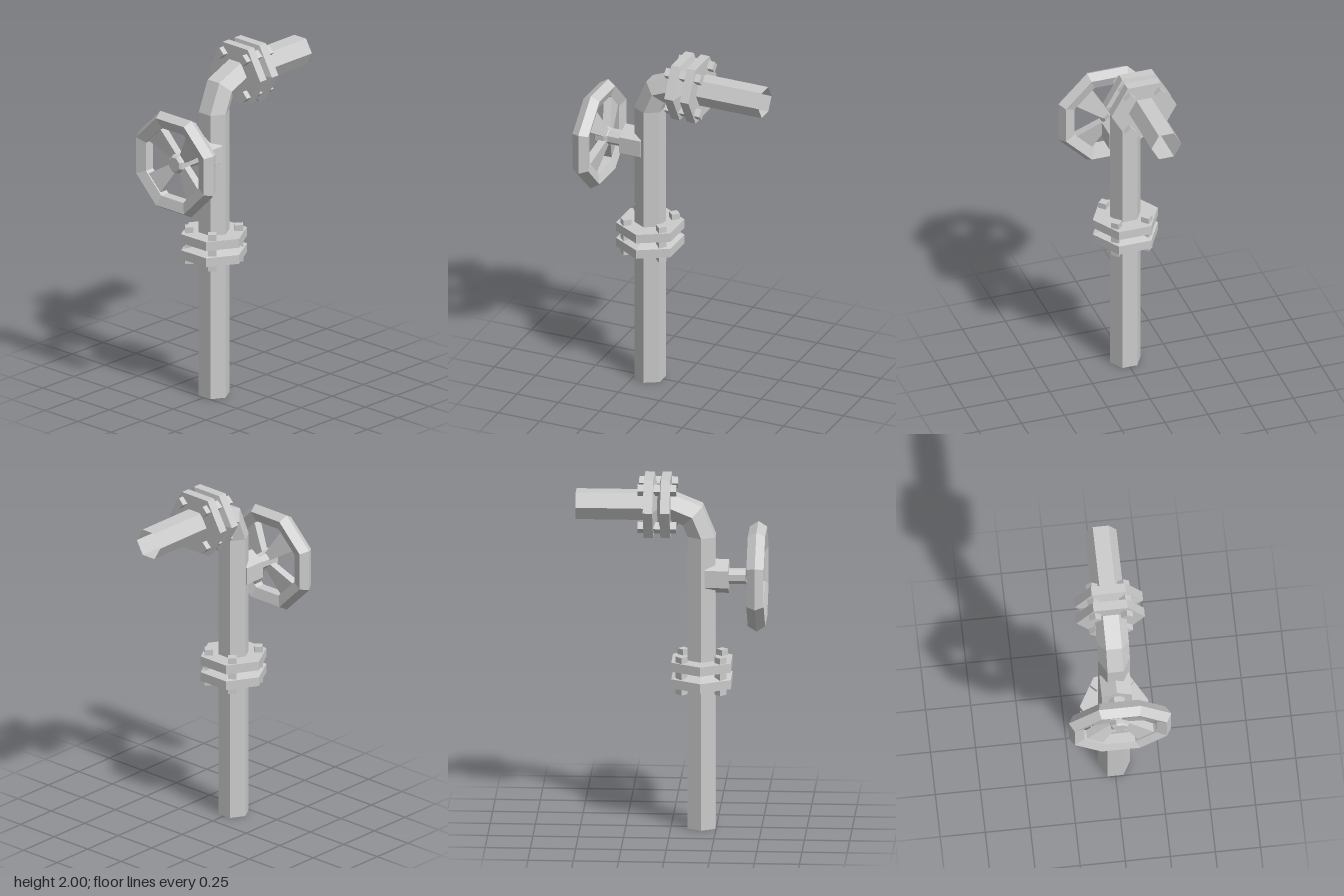
import * as THREE from 'three';

const mat = new THREE.MeshStandardMaterial({ color: 0xcccccc, flatShading: true });
const openMat = new THREE.MeshStandardMaterial({ color: 0xcccccc, flatShading: true, side: THREE.DoubleSide });

const PIPE_R = 0.088, PIPE_Z = 0.17, TOP_Y = 1.838, WHEEL_Y = 1.437;

function add(parent, name, geometry, material = mat) {
  const mesh = new THREE.Mesh(geometry, material);
  mesh.name = name;
  parent.add(mesh);
  return mesh;
}

// Faceted solid of revolution about y; points are [radius, height] from bottom to top
function lathe(points, sides, phiStart) {
  return new THREE.LatheGeometry(points.map(([r, y]) => new THREE.Vector2(r, y)), sides, phiStart);
}

// Six-sided pipe that rises, bends backwards through 90 degrees and runs to the rear
function makePipe() {
  const bend = PIPE_Z, bendY = TOP_Y - bend;
  const rings = [[0, PIPE_Z, 0]];
  for (const a of [0, Math.PI / 4, Math.PI / 2]) {
    rings.push([bendY + bend * Math.sin(a), bend * Math.cos(a), a]);
  }
  rings.push([TOP_Y, -0.525, Math.PI / 2]);
  const n = rings.length - 1;
  const geo = new THREE.CylinderGeometry(PIPE_R, PIPE_R, n, 6, n, true, Math.PI / 6);
  const p = geo.attributes.position;
  for (let i = 0; i < p.count; i++) {
    const [y, z, a] = rings[Math.round(p.getY(i) + n / 2)];
    const out = p.getZ(i);
    p.setXYZ(i, p.getX(i), y + out * Math.sin(a), z + out * Math.cos(a));
  }
  geo.computeVertexNormals();
  return geo;
}

// Pair of hexagonal plates, tapering together in the gap, with four square bolts
function makeFlange(name) {
  const g = new THREE.Group();
  g.name = name;
  const profile = [
    [0.086, -0.0735], [0.19, -0.0735], [0.19, -0.0215], [0.09, 0],
    [0.19, 0.0215], [0.19, 0.0735], [0.086, 0.0735],
  ];
  add(g, 'flangePlates', lathe(profile, 6, Math.PI / 6));
  for (const sx of [-1, 1]) {
    for (const sz of [-1, 1]) {
      const bolt = add(g, 'bolt', new THREE.CylinderGeometry(0.033, 0.033, 0.214, 4));
      bolt.position.set(0.088 * sx, 0, 0.107 * sz);
    }
  }
  return g;
}

// Spoke along +x: narrow and low at the hub, wide and raised at the rim
function makeSpoke() {
  const geo = new THREE.BoxGeometry(1, 1, 1);
  const p = geo.attributes.position;
  for (let i = 0; i < p.count; i++) {
    const outer = p.getX(i) > 0;
    const x = outer ? 0.21 : 0.03;
    const y = (outer ? 0.475 : 0.435) + p.getY(i) * (outer ? 0.05 : 0.044);
    const z = p.getZ(i) * (outer ? 0.13 : 0.044);
    p.setXYZ(i, x, y, z);
  }
  geo.computeVertexNormals();
  return geo;
}

// Handwheel and stem, built about the y axis (y becomes the model's z)
function makeValve() {
  const g = new THREE.Group();
  g.name = 'valve';
  const flat = 1 / Math.cos(Math.PI / 8);
  const rim = [
    [0.2, -0.029], [0.256, -0.048], [0.284, 0], [0.256, 0.048], [0.2, 0.029], [0.2, -0.029],
  ].map(([r, y]) => [r * flat, y + 0.477]);
  add(g, 'wheelRim', lathe(rim, 8, Math.PI / 8));

  for (let i = 0; i < 4; i++) {
    add(g, 'spoke', makeSpoke()).rotation.y = Math.PI / 4 + i * Math.PI / 2;
  }

  const hub = [[0, 0.41], [0.045, 0.41], [0.054, 0.43], [0.054, 0.48], [0.042, 0.492], [0, 0.492]];
  add(g, 'hub', lathe(hub, 8, Math.PI / 8));

  const stem = add(g, 'stem', new THREE.CylinderGeometry(0.045, 0.045, 0.14, 8, 1, false, Math.PI / 8));
  stem.position.y = 0.36;

  const bonnet = add(g, 'bonnet', new THREE.CylinderGeometry(0.097, 0.097, 0.13, 6));
  bonnet.position.y = 0.255;

  g.rotation.x = Math.PI / 2;
  g.position.y = WHEEL_Y;
  return g;
}

export function createModel() {
  const model = new THREE.Group();
  model.name = 'pipeWithValve';

  add(model, 'pipe', makePipe(), openMat);

  // Closed foot of the pipe
  const foot = add(model, 'pipeFoot', new THREE.CircleGeometry(PIPE_R, 6));
  foot.rotation.x = Math.PI / 2;
  foot.position.z = PIPE_Z;

  const lower = makeFlange('lowerFlange');
  lower.position.set(0, 0.888, PIPE_Z);
  const upper = makeFlange('upperFlange');
  upper.position.set(0, TOP_Y, -0.0735);
  upper.rotation.x = Math.PI / 2;

  model.add(lower, upper, makeValve());
  return model;
}
